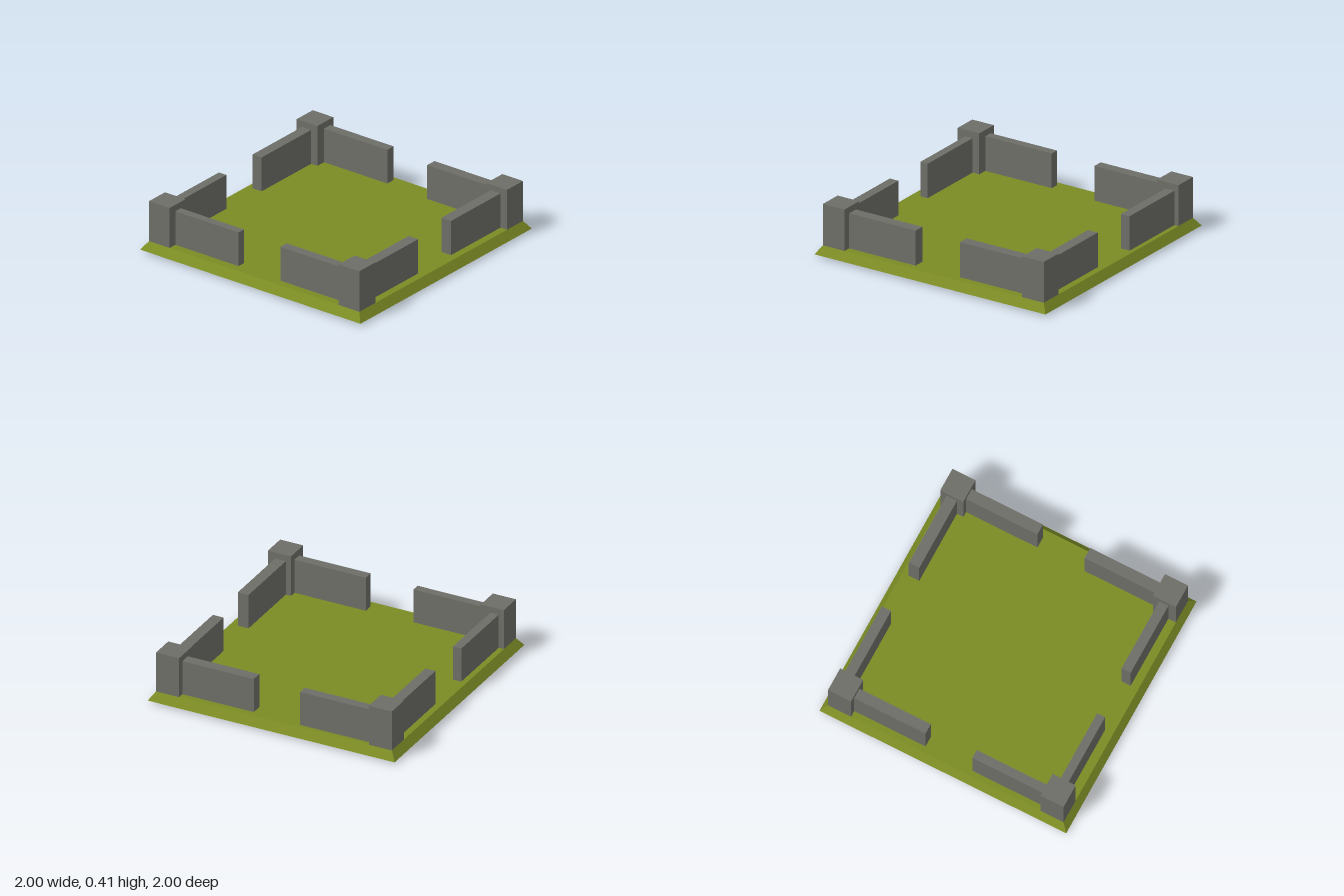
import * as THREE from 'three';

export function createModel() {
  const model = new THREE.Group();
  const grass = new THREE.MeshStandardMaterial({ color: 0x7c8c24, flatShading: true, side: THREE.DoubleSide });
  grass.name = 'grass green';
  const stone = new THREE.MeshStandardMaterial({ color: 0x6e6e68, flatShading: true });
  stone.name = 'stone grey';

  // Box given by its limits on each axis
  const block = (name, [x0, x1], [y0, y1], [z0, z1]) => {
    const mesh = new THREE.Mesh(new THREE.BoxGeometry(x1 - x0, y1 - y0, z1 - z0), stone);
    mesh.position.set((x0 + x1) / 2, (y0 + y1) / 2, (z0 + z1) / 2);
    mesh.name = name;
    model.add(mesh);
  };

  // Ground: a flat lawn with sloping sides, open underneath
  const rim = 0.955, low = 0.02, high = 0.085;
  const slopes = new THREE.Mesh(
    new THREE.CylinderGeometry(rim * Math.SQRT2, Math.SQRT2, high - low, 4, 1, true)
      .rotateY(Math.PI / 4).translate(0, (low + high) / 2, 0), grass);
  slopes.name = 'groundSlopes';
  const lawn = new THREE.Mesh(
    new THREE.PlaneGeometry(2 * rim, 2 * rim).rotateX(-Math.PI / 2).translate(0, high, 0), grass);
  lawn.name = 'lawn';
  model.add(slopes, lawn);

  // Corner posts
  for (const x of [-1, 1]) for (const z of [-1, 1]) {
    const span = (s) => (s < 0 ? [-0.955, -0.768] : [0.768, 0.955]);
    block('cornerPost', span(x), [0.05, x < 0 && z > 0 ? 0.407 : 0.402], span(z));
  }

  // Walls along the front and back, running into the posts
  const left = [0.19, 0.935], right = [-0.93, -0.193];
  block('frontWallRight', right, [0, 0.357], [0.81, 0.897]);
  block('frontWallLeft', left, [0, 0.357], [0.81, 0.897]);
  block('backWallRight', right, [0.005, 0.354], [-0.913, -0.845]);
  block('backWallLeft', left, [0, 0.354], [-0.906, -0.824]);

  // Walls along the sides
  const front = [0.19, 0.93], back = [-0.935, -0.193];
  block('rightWallFront', [-0.894, -0.82], [0.01, 0.354], front);
  block('rightWallBack', [-0.889, -0.825], [0.017, 0.352], back);
  block('leftWallFront', [0.82, 0.905], [0.01, 0.354], front);
  block('leftWallBack', [0.846, 0.921], [0.017, 0.352], back);

  return model;
}
